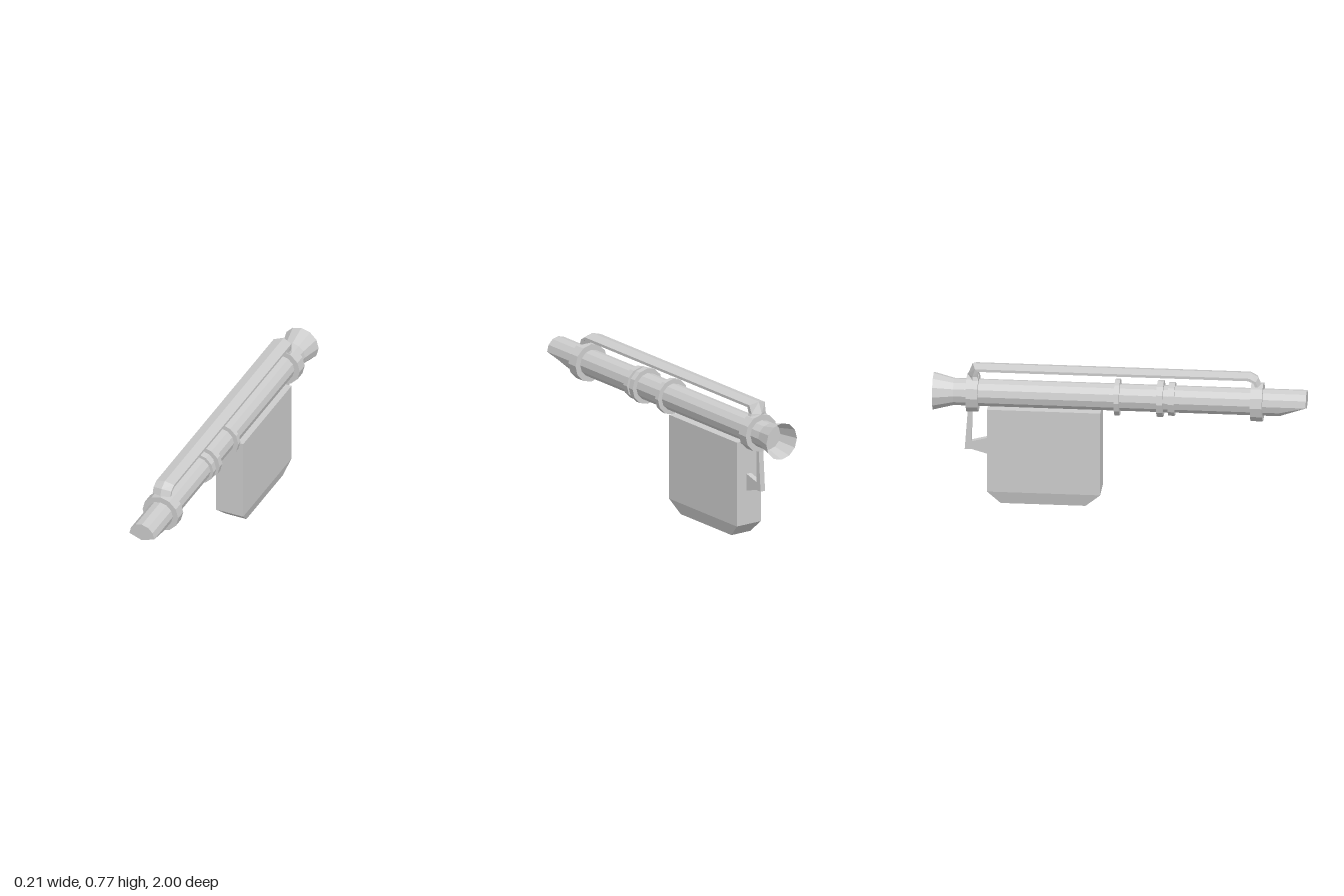
import * as THREE from 'three';

const mat = new THREE.MeshStandardMaterial({ color: 0xcccccc, flatShading: true });
const thin = new THREE.MeshStandardMaterial({ color: 0xcccccc, flatShading: true, side: THREE.DoubleSide });
const AXIS_Y = 0.607, R = 0.0735, SIDES = 12;

// Twelve-sided cylinder lying along z, from zBack to zFront
function barrel(zFront, zBack, rFront, rBack, open = false) {
  const g = new THREE.CylinderGeometry(rFront, rBack, zFront - zBack, SIDES, 1, open);
  g.rotateX(Math.PI / 2);
  g.translate(0, 0, (zFront + zBack) / 2);
  return g;
}

// Skin over equal-sized rings of points, with both ends capped
function loft(rings) {
  const n = rings[0].length, pos = rings.flat(2), idx = [];
  for (let s = 0; s < rings.length - 1; s++) {
    for (let i = 0; i < n; i++) {
      const j = (i + 1) % n, a = s * n, b = a + n;
      idx.push(a + i, b + i, a + j, a + j, b + i, b + j);
    }
  }
  const e = (rings.length - 1) * n;
  for (let k = 1; k < n - 1; k++) idx.push(0, k, k + 1, e, e + k + 1, e + k);
  const g = new THREE.BufferGeometry();
  g.setAttribute('position', new THREE.Float32BufferAttribute(pos, 3));
  g.setIndex(idx);
  const flat = g.toNonIndexed();
  flat.computeVertexNormals();
  return flat;
}

export function createModel() {
  const model = new THREE.Group();
  model.name = 'pipeWithCase';
  const add = (name, geometry, y = 0, material = mat) => {
    const m = new THREE.Mesh(geometry, material);
    m.name = name;
    m.position.y = y;
    model.add(m);
    return m;
  };

  // Main tube and flared open bell
  add('tube', barrel(0.855, -0.89, R, R), AXIS_Y);
  add('bell', barrel(-0.89, -1, R, 0.102, true), AXIS_Y, thin);

  // Mouthpiece: the lower half is cut up towards the tip
  const mouth = barrel(1, 0.855, R, R);
  const p = mouth.attributes.position;
  for (let i = 0; i < p.count; i++) {
    if (p.getZ(i) > 0.99 && p.getY(i) < -0.001) {
      p.setY(i, -0.027 * (1 - Math.abs(p.getX(i)) / R));
    }
  }
  mouth.computeVertexNormals();
  add('mouthpiece', mouth, AXIS_Y);

  // Collars: front z, back z, radius
  [[0.767, 0.703, 0.105], [0.295, 0.261, 0.091], [0.234, 0.2, 0.099],
    [0, -0.027, 0.099], [-0.757, -0.82, 0.105]].forEach(([f, b, r], i) =>
    add('collar' + (i + 1), barrel(f, b, r, r), AXIS_Y));

  // Ridged rail, bent down to a collar at each end
  // Each station: inner z, y, ridge z, y, half width
  const stations = [
    [0.727, 0.712, 0.757, 0.712, 0.052],
    [0.719, 0.733, 0.742, 0.75, 0.052],
    [0.69, 0.746, 0.7, 0.775, 0.052],
    [-0.757, 0.746, -0.79, 0.775, 0.052],
    [-0.76, 0.713, -0.815, 0.714, 0.046],
    [-0.76, 0.695, -0.815, 0.695, 0.053],
  ];
  const rail = add('rail', loft(stations.map(([iz, iy, oz, oy, w]) => {
    const sz = (iz + oz) / 2, sy = (iy + oy) / 2;
    return [[-w, iy, iz], [w, iy, iz], [w, sy, sz], [0, oy, oz], [-w, sy, sz]];
  })));
  rail.position.x = -0.005;

  // Hanging case with a chamfered bottom
  const rect = (y, w, zf, zb) => [[-w, y, zf], [-w, y, zb], [w, y, zb], [w, y, zf]];
  add('case', loft([
    rect(0.54, 0.08, -0.1, -0.707),
    rect(0.07, 0.08, -0.1, -0.707),
    rect(0, 0.062, -0.18, -0.635),
  ].map((r) => r.reverse())));

  // Hook strap joining the rear collar to the case
  const strap = new THREE.Shape([
    [0.793, 0.53], [0.795, 0.33], [0.7, 0.355], [0.7, 0.258],
    [0.795, 0.285], [0.832, 0.285], [0.814, 0.53],
  ].map(([z, y]) => new THREE.Vector2(z, y)));
  const strapGeo = new THREE.ExtrudeGeometry(strap, { depth: 0.03, bevelEnabled: false });
  strapGeo.translate(0, 0, -0.015);
  strapGeo.rotateY(Math.PI / 2);
  add('strap', strapGeo);

  return model;
}
